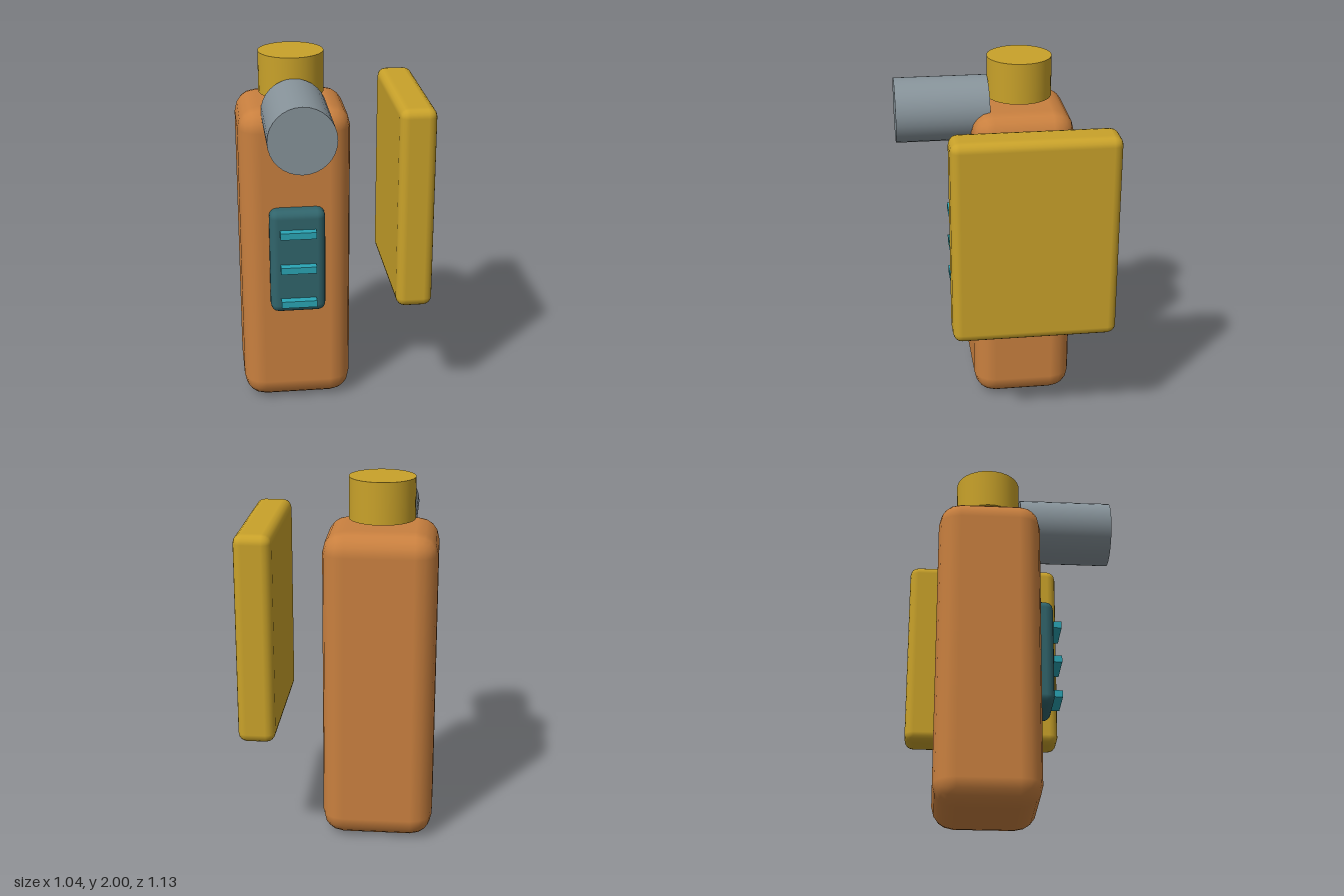
import * as THREE from 'three';
import { RoundedBoxGeometry } from 'three/addons/geometries/RoundedBoxGeometry.js';

function paint(name, color) {
  const material = new THREE.MeshStandardMaterial({ color });
  material.name = name;
  return material;
}

export function createModel() {
  const model = new THREE.Group();
  model.name = 'canister';

  const orange = paint('orange', 0xc9803f);
  const gold = paint('gold', 0xc9a22a);
  const grey = paint('grey', 0x87939a);
  const teal = paint('dark teal', 0x31656c);
  const cyan = paint('cyan', 0x2aa5b5);

  function add(name, geometry, material, x, y, z) {
    const mesh = new THREE.Mesh(geometry, material);
    mesh.name = name;
    mesh.position.set(x, y, z);
    model.add(mesh);
    return mesh;
  }

  const axisX = -0.217;

  // Upright body with softened edges
  add('body', new RoundedBoxGeometry(0.61, 1.74, 0.56, 2, 0.12), orange, axisX, 0.87, -0.12);

  // Cap hovering just above the body
  add('cap', new THREE.CylinderGeometry(0.178, 0.178, 0.225, 32), gold, axisX, 1.8875, -0.122);

  // Nozzle pointing forward
  const nozzle = add('nozzle', new THREE.CylinderGeometry(0.178, 0.178, 0.51, 32), grey, axisX, 1.71, 0.31);
  nozzle.rotation.x = Math.PI / 2;

  // Separate slab on the left side
  add('sidePlate', new RoundedBoxGeometry(0.2, 1.14, 0.886, 2, 0.05), gold, 0.419, 1.203, -0.122);

  // Front panel with three raised bars
  add('frontPanel', new RoundedBoxGeometry(0.305, 0.605, 0.12, 2, 0.045), teal, axisX, 0.897, 0.174);
  for (let i = 0; i < 3; i++) {
    add('panelBar', new THREE.BoxGeometry(0.196, 0.038, 0.06), cyan, axisX, 0.668 + i * 0.204, 0.25);
  }

  return model;
}
